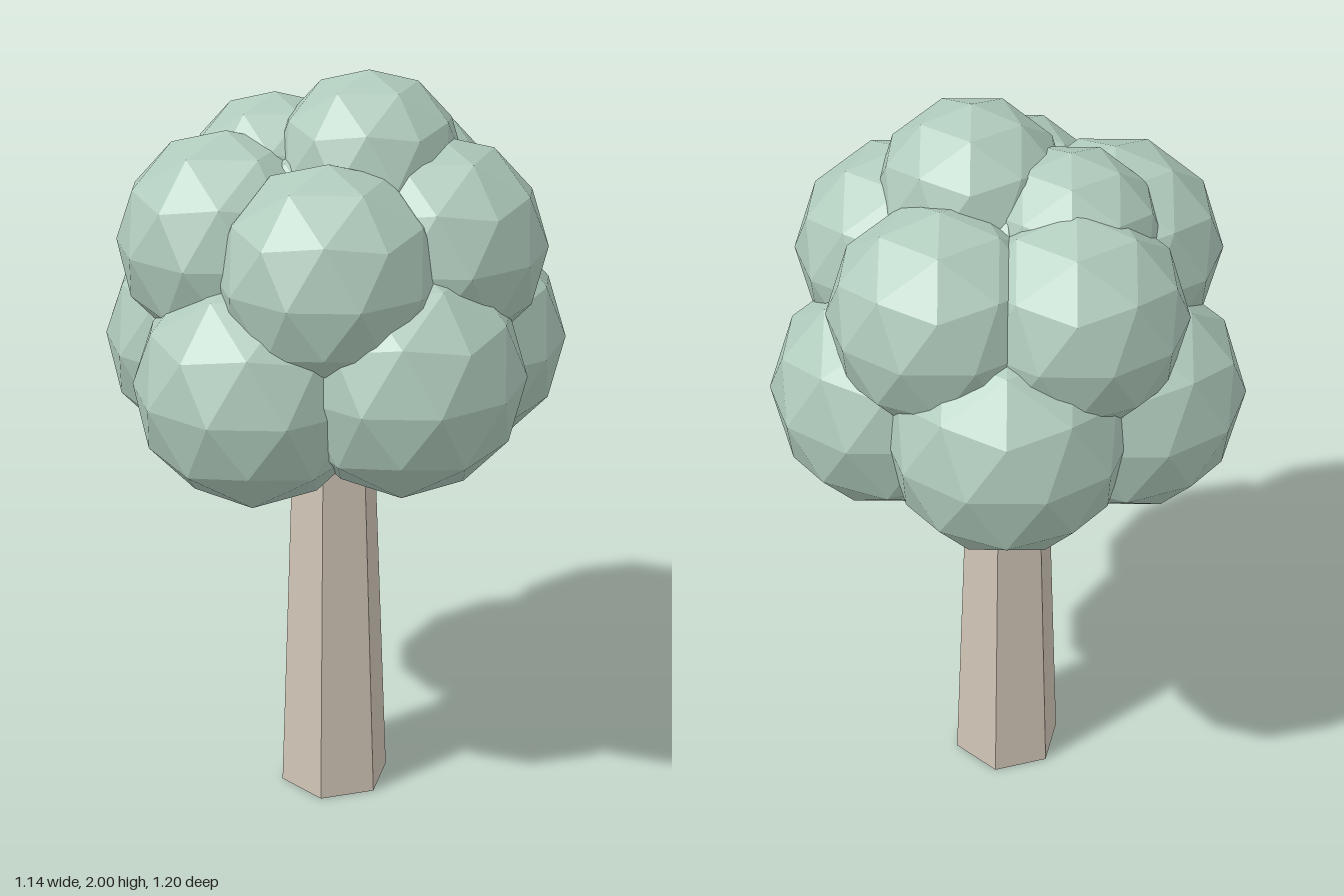
import * as THREE from 'three';

export function createModel() {
  const tree = new THREE.Group();
  tree.name = 'tree';
  const bark = new THREE.MeshStandardMaterial({ color: 0xcfc4b5, flatShading: true });
  bark.name = 'pale bark';
  const leaf = new THREE.MeshStandardMaterial({ color: 0xafcabc, flatShading: true });
  leaf.name = 'sage leaf';
  const axisX = -0.03; // trunk axis

  // Tapered six-sided trunk, corners pointing along x
  const trunkGeo = new THREE.CylinderGeometry(0.1, 0.15, 1.3, 6);
  trunkGeo.rotateY(Math.PI / 6);
  const trunk = new THREE.Mesh(trunkGeo, bark);
  trunk.name = 'trunk';
  trunk.position.set(axisX, 0.65, 0);
  tree.add(trunk);

  // Leaf ball with one corner straight up
  const ball = new THREE.IcosahedronGeometry(1, 1);
  ball.rotateZ(-Math.atan(2 / (1 + Math.sqrt(5))));

  const canopy = new THREE.Group();
  canopy.name = 'canopy';
  tree.add(canopy);

  function addClump(name, x, y, z, r) {
    const m = new THREE.Mesh(ball, leaf);
    m.name = name;
    m.position.set(x, y, z);
    m.scale.setScalar(r);
    canopy.add(m);
  }

  function addRing(name, distance, r, startDeg, heights) {
    heights.forEach((y, i) => {
      const a = THREE.MathUtils.degToRad(startDeg + i * 72);
      addClump(name + (i + 1), axisX + distance * Math.cos(a), y, distance * Math.sin(a), r);
    });
  }

  // Two staggered rings of five clumps
  addRing('lowerClump', 0.311, 0.306, 0, [1.27, 1.29, 1.257, 1.265, 1.282]);
  addRing('upperClump', 0.272, 0.28, 36, [1.573, 1.55, 1.58, 1.56, 1.564]);

  // Crown and inner filling
  addClump('crownClump', 0.047, 1.76, 0.053, 0.24);
  addClump('crownSideClump', -0.15, 1.69, -0.11, 0.23);
  addClump('innerClump', axisX, 1.49, 0, 0.36);

  return tree;
}
